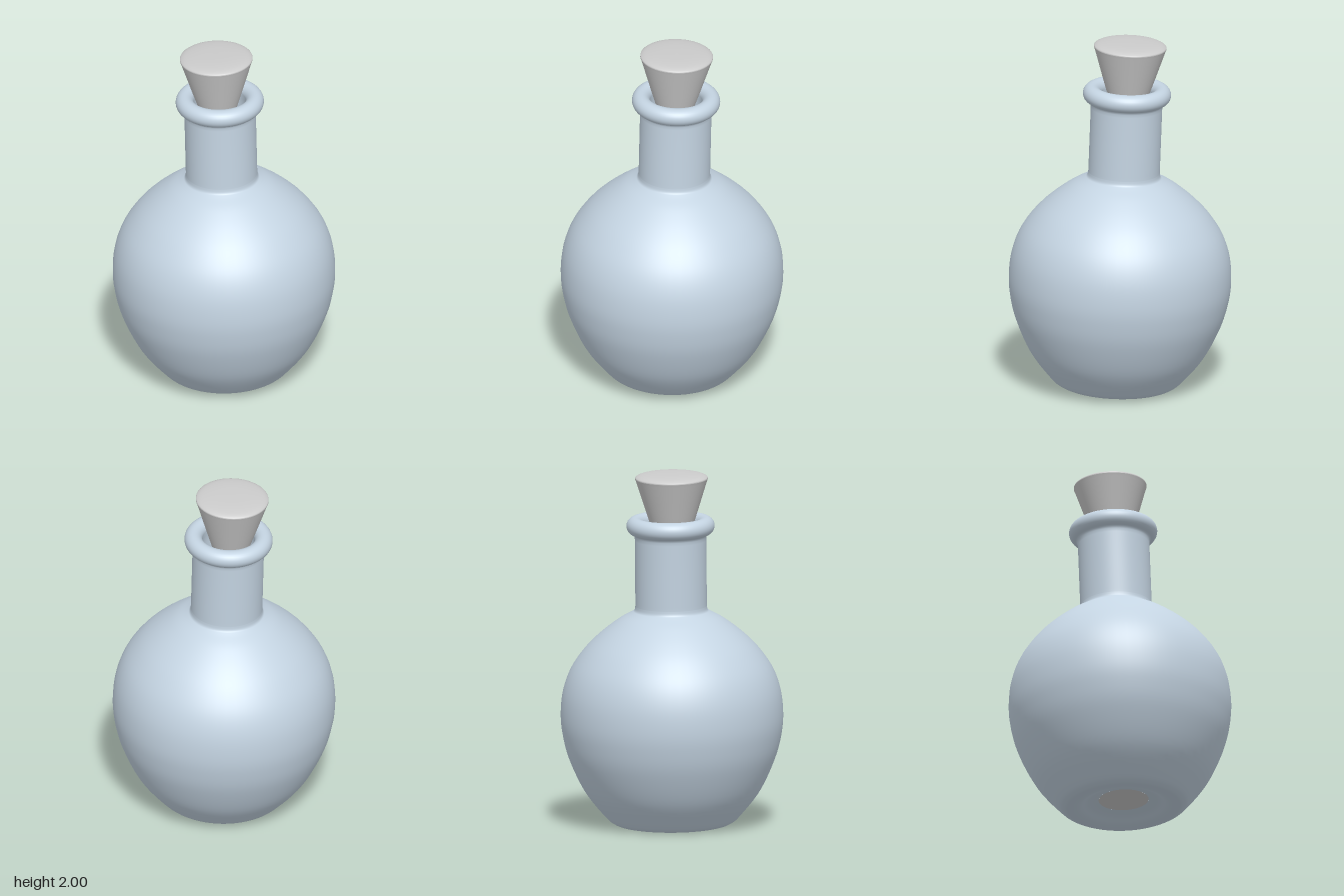
import * as THREE from 'three';

const v2 = (p) => new THREE.Vector2(p[0], p[1]);
const spline = (pts, n) => new THREE.SplineCurve(pts.map(v2)).getPoints(n);

export function createModel() {
  const group = new THREE.Group();
  const glass = new THREE.MeshStandardMaterial({ color: 0xc4d4e2, side: THREE.DoubleSide });
  const grey = new THREE.MeshStandardMaterial({ color: 0xcccccc, side: THREE.DoubleSide });
  const add = (name, geometry, material, parent) => {
    const mesh = new THREE.Mesh(geometry, material);
    mesh.name = name;
    parent.add(mesh);
    return mesh;
  };

  // The whole bottle leans slightly, pivoting about the middle of its belly
  const pivotY = 0.6;
  const bottle = new THREE.Group();
  bottle.name = 'bottle';
  bottle.position.y = pivotY;
  bottle.rotation.z = 0.037;
  group.add(bottle);

  // Hollowed base and round belly, rising to the shoulder
  const belly = spline([
    [0.14, 0.06], [0.2, 0.045], [0.25, 0.022], [0.3, 0.014], [0.335, 0.022], [0.38, 0.06],
    [0.49, 0.2], [0.575, 0.38], [0.612, 0.52], [0.622, 0.64], [0.608, 0.77], [0.565, 0.89],
    [0.49, 1.0], [0.4, 1.09], [0.3, 1.167], [0.225, 1.21], [0.205, 1.225], [0.2, 1.25],
  ], 90);

  // Straight neck with a small fillet under the lip
  const neck = [[0.2, 1.27], [0.2, 1.45], [0.2, 1.62], [0.201, 1.638], [0.205, 1.65]].map(v2);

  // Rolled lip, turning over into the inner wall of the neck
  const lip = [];
  for (let i = 0; i <= 20; i++) {
    const a = THREE.MathUtils.degToRad(-72 + i * 12.6);
    lip.push(new THREE.Vector2(0.197 + 0.05 * Math.cos(a), 1.702 + 0.05 * Math.sin(a)));
  }
  const inside = [[0.15, 1.67], [0.155, 1.62], [0.155, 1.3]].map(v2);

  const body = new THREE.LatheGeometry([...belly, ...neck, ...lip, ...inside], 64);
  add('bottleBody', body, glass, bottle).position.y = -pivotY;

  // Flat disc closing the hollow of the base
  const disc = new THREE.CircleGeometry(0.14, 48).rotateX(Math.PI / 2);
  add('baseDisc', disc, grey, bottle).position.y = 0.06 - pivotY;

  // Tapered stopper with a softly domed top, a little off centre
  const side = [[0, -0.36], [0.098, -0.36], [0.1, -0.355], [0.145, -0.215], [0.198, -0.045]].map(v2);
  const dome = spline([[0.204, -0.03], [0.2, -0.02], [0.17, -0.009], [0.1, -0.002], [0, 0]], 20);
  const stopper = add('stopper', new THREE.LatheGeometry([...side, ...dome], 48), grey, group);
  stopper.position.set(-0.062, 2, 0.01);
  stopper.rotation.z = 0.045;

  return group;
}
